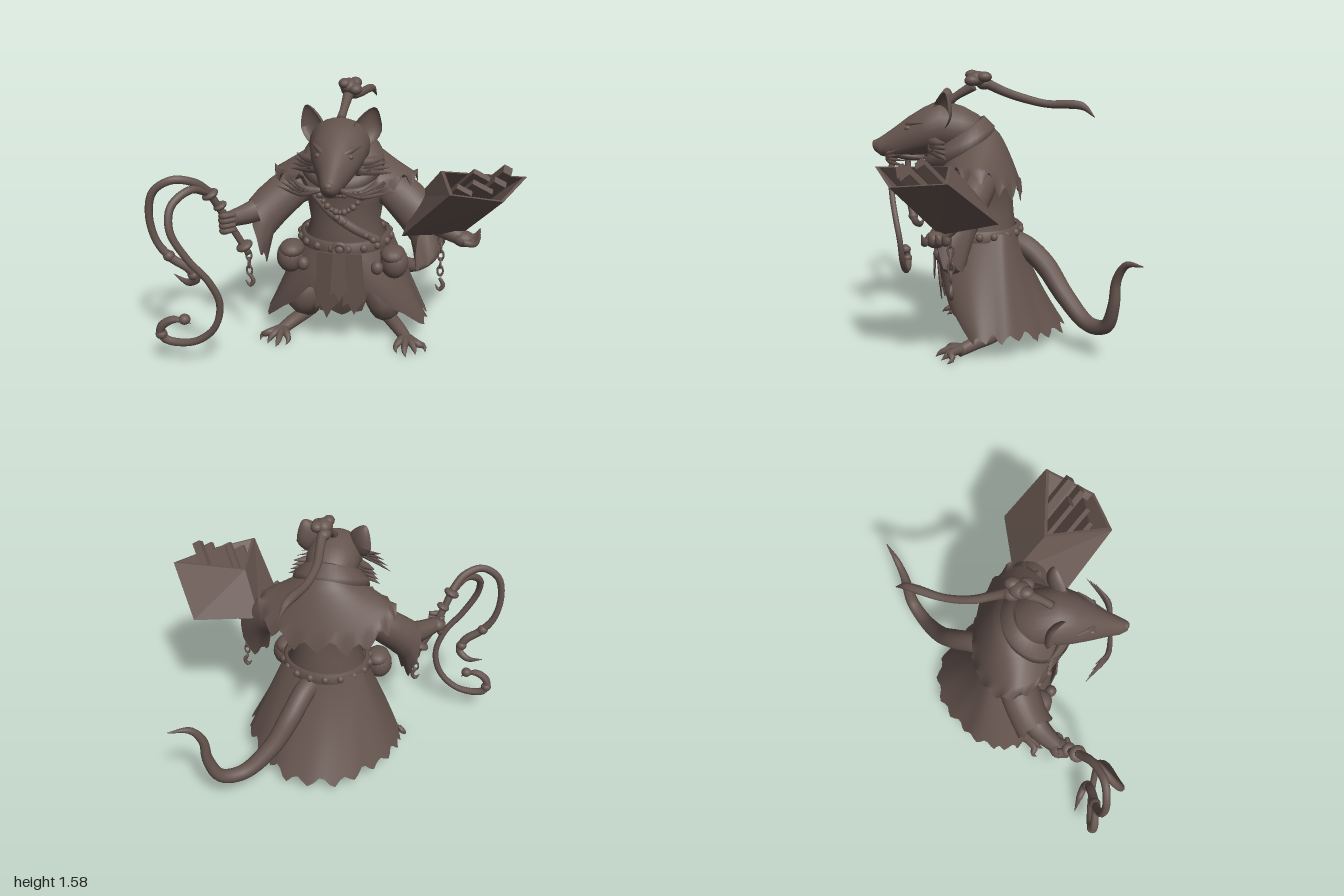
import * as THREE from 'three';

const V = (x, y, z) => new THREE.Vector3(x, y, z);
const TAU = Math.PI * 2;
const lerp = THREE.MathUtils.lerp;
const smooth = THREE.MathUtils.smoothstep;

export function createModel() {
  const model = new THREE.Group();
  const clay = new THREE.MeshStandardMaterial({ color: 0x65544e, side: THREE.DoubleSide });
  clay.name = 'umber clay';

  const add = (name, geo, p = [0, 0, 0], s = [1, 1, 1], r = [0, 0, 0]) => {
    const m = new THREE.Mesh(geo, clay);
    m.name = name;
    m.position.set(...p); m.scale.set(...s); m.rotation.set(...r);
    model.add(m);
    return m;
  };

  // Smooth skin through closed rings of equal point count
  const loft = (rings) => {
    const n = rings[0].length, pos = [], idx = [];
    rings.forEach((r) => r.forEach((p) => pos.push(p.x, p.y, p.z)));
    for (let i = 0; i < rings.length - 1; i++) for (let j = 0; j < n; j++) {
      const a = i * n + j, b = i * n + (j + 1) % n;
      idx.push(a, b, b + n, a, b + n, a + n);
    }
    const g = new THREE.BufferGeometry();
    g.setAttribute('position', new THREE.Float32BufferAttribute(pos, 3));
    g.setIndex(idx);
    g.computeVertexNormals();
    return g;
  };
  const ring = (n, f) => Array.from({ length: n }, (_, j) => f(j / n * TAU, j));

  // Tube along points with its own radius at each of them
  const tube = (pts, radii, seg = 24, sides = 8) => {
    const c = new THREE.CatmullRomCurve3(pts.map((p) => V(...p)));
    const f = c.computeFrenetFrames(seg), rings = [];
    for (let i = 0; i <= seg; i++) {
      const k = c.getUtoTmapping(i / seg) * (radii.length - 1), q = Math.min(Math.floor(k), radii.length - 2);
      const r = lerp(radii[q], radii[q + 1], k - q), o = c.getPointAt(i / seg);
      rings.push(ring(sides, (t) => o.clone()
        .addScaledVector(f.normals[i], r * Math.cos(t)).addScaledVector(f.binormals[i], r * Math.sin(t))));
    }
    const end = (k) => ring(sides, () => c.getPoint(k));
    return loft([end(0), ...rings, end(1)]);
  };
  const ball = new THREE.SphereGeometry(1, 16, 12);
  const blob = (name, p, s, r) => add(name, ball, p, s, r);
  const jag = (j) => [0, 0.025, 0.06, 0.05, 0.01, -0.01, 0.03, 0.045, 0.02][j % 9];

  // Torso: y, half width, back z, front z
  const torso = [[0.3, 0.12, 0, 0.2], [0.4, 0.26, -0.1, 0.29], [0.62, 0.245, -0.11, 0.33], [0.76, 0.2, -0.09, 0.31],
    [0.9, 0.22, -0.08, 0.31], [1.03, 0.27, -0.08, 0.32], [1.14, 0.22, -0.04, 0.35], [1.24, 0.12, 0.06, 0.32]];
  add('torso', loft(torso.map(([y, w, b, f]) => ring(32, (t) =>
    V(w * Math.sin(t), y, (b + f) / 2 + (f - b) / 2 * Math.cos(t))))));

  // Flared robe skirt, parted over the shins and ragged at the hem
  add('robeSkirt', loft(Array.from({ length: 12 }, (_, i) => {
    const s = 1 - i / 11;
    return ring(90, (t, j) => {
      const d = Math.min(t, TAU - t) * 180 / Math.PI;
      let hem = lerp(0.22, 0.38, smooth(d, 12, 24));
      hem = lerp(hem, 0.13, smooth(d, 27, 52));
      hem = lerp(hem, 0.07, smooth(d, 100, 160));
      const y = lerp(0.68, hem, s) + (i ? 0 : jag(j) * 0.8 - 0.01), q = (0.68 - y) / 0.6, c = Math.cos(t), k = Math.sin(2 * t) ** 2;
      const front = 0.32 + 0.2 * q * (1 - q) - 0.13 * q * q, back = 0.11 + 0.17 * q + 0.11 * q * q;
      const fold = 1 + 0.01 * q * Math.sin(t * 12) + (c > 0 ? 0.25 : -0.1) * q * k;
      return V((0.245 + 0.25 * q) * Math.sin(t) * fold, y, (c > 0 ? front : back) * c * fold);
    });
  })));

  // Ragged shoulder mantle
  add('mantle', loft(Array.from({ length: 9 }, (_, i) => {
    const s = 1 - i / 8;
    return ring(72, (t, j) => {
      const b = (1 - Math.cos(t)) / 2, e = Math.pow(s, 0.85);
      const low = lerp(1.05, 0.91, smooth(b, 0.45, 1));
      return V(lerp(0.17, 0.41, e) * Math.sin(t),
        lerp(lerp(1.12, 1.25, b), low, Math.pow(s, lerp(0.9, 1.2, b))) + (i ? 0 : jag(j) * 1.4 - 0.05),
        lerp(0.17, 0.1, e) + lerp(0.15, 0.24, e) * Math.cos(t));
    });
  })));
  // Thick hood collar, high at the nape and sloping to the chest
  const collar = [[0.19, -0.1], [0.25, -0.06], [0.24, -0.01], [0.17, 0.045], [0.145, 0.04], [0.16, -0.05]];
  add('hoodCollar', loft(collar.map(([r, h]) => ring(36, (t) => {
    const c = Math.cos(t);
    return V(r * 0.92 * Math.sin(t), 1.19 - 0.09 * c + h, 0.22 + r * 0.82 * c);
  }))));

  // Head: z, centre y, half width, half height
  const head = [[0.06, 1.22, 0.02, 0.02], [0.11, 1.23, 0.115, 0.1], [0.2, 1.25, 0.15, 0.13], [0.33, 1.27, 0.165, 0.15],
    [0.43, 1.24, 0.14, 0.135], [0.52, 1.205, 0.105, 0.115], [0.6, 1.17, 0.07, 0.09], [0.68, 1.15, 0.047, 0.055],
    [0.72, 1.155, 0.027, 0.028], [0.73, 1.155, 0.001, 0.001]];
  add('head', loft(head.map(([z, y, w, h]) => ring(28, (t) => V(w * Math.sin(t), y + h * Math.cos(t), z)))));
  blob('nose', [0, 1.168, 0.708], [0.026, 0.022, 0.022]);
  blob('lowerJaw', [0, 1.1, 0.53], [0.06, 0.03, 0.11], [-0.15, 0, 0]);

  // Cupped ear narrowing to a rounded point
  const ear = new THREE.SphereGeometry(1, 18, 8, 0, TAU, 0, Math.PI / 2).rotateX(-Math.PI / 2);
  const ep = ear.attributes.position;
  for (let i = 0; i < ep.count; i++) ep.setX(i, ep.getX(i) * (1 - 0.45 * Math.max(0, ep.getY(i))));
  ear.computeVertexNormals();

  // Parts mirrored left and right
  for (const s of [1, -1]) {
    const side = s > 0 ? 'left' : 'right';
    add(side + 'Ear', ear, [0.155 * s, 1.37, 0.32], [0.085, 0.11, 0.05], [0, 0.6 * s, -0.35 * s]);
    blob(side + 'Eye', [0.085 * s, 1.265, 0.515], [0.016, 0.014, 0.02]);
    add(side + 'Brow', tube([[0.03 * s, 1.27, 0.55], [0.08 * s, 1.29, 0.5], [0.125 * s, 1.3, 0.43]], [0.008, 0.016, 0.006], 10));
    // Drooping whiskers and cheek fur
    for (let i = 0; i < 4; i++) {
      add(side + 'Whisker', tube([[0.05 * s, 1.12, 0.63], [0.15 * s, 1.09 + i * 0.012, 0.62],
        [(0.31 - i * 0.025) * s, 1.08 + i * 0.03, 0.5 + i * 0.015]], [0.012, 0.016, 0.001], 10, 6));
      add(side + 'CheekFur', tube([[0.1 * s, 1.15 + i * 0.015, 0.38], [0.18 * s, 1.13 + i * 0.02, 0.34],
        [(0.28 - i * 0.012) * s, 1.11 + i * 0.03, 0.29]], [0.035, 0.025, 0.001], 10, 6));
    }
    // Wide ragged sleeve: x, y, z, half width, half height
    const sleeve = [[0.16, 1.0, 0.09, 0.11, 0.1], [0.28, 0.96, 0.12, 0.12, 0.11], [0.38, 0.88, 0.17, 0.12, 0.125],
      [0.45, 0.81, 0.21, 0.115, 0.135], [0.49, 0.74, 0.25, 0.12, 0.155]];
    add(side + 'Sleeve', loft(sleeve.map(([x, y, z, w, h], i) => ring(27, (t, j) => {
      const u = Math.sin(t), drop = i === 4 && u < 0 ? Math.sqrt(-u) * (0.08 - jag(j)) : 0;
      return V(s * (x - 0.5 * w * Math.cos(t) + 0.2 * h * u), y + h * u - drop, z + 0.8 * w * Math.cos(t));
    }))));
    const hand = s > 0 ? [0.68, 0.765, 0.33] : [-0.62, 0.82, 0.38];
    add(side + 'Forearm', tube([[0.36 * s, 0.9, 0.17], [0.5 * s, 0.83, 0.25], hand], [0.08, 0.07, 0.045]));
    blob(side + 'Hand', hand, [0.06, 0.045, 0.055]);
    for (let i = 0; i < 4; i++) {
      add(side + 'Finger', s > 0
        ? tube([[0.68, 0.76, 0.27 + i * 0.035], [0.74, 0.76, 0.28 + i * 0.035], [0.77, 0.81, 0.29 + i * 0.035]], [0.02, 0.018, 0.004], 10)
        : tube([[-0.65, 0.77 + i * 0.03, 0.37], [-0.64, 0.77 + i * 0.03, 0.435], [-0.57, 0.78 + i * 0.03, 0.42]], [0.018, 0.02, 0.012], 10));
    }
    // Bent leg, long foot and clawed toes
    add(side + 'Leg', tube([[0.15 * s, 0.42, 0.1], [0.24 * s, 0.28, 0.18], [0.23 * s, 0.2, 0.12], [0.24 * s, 0.1, 0.02],
      [0.33 * s, 0.065, 0.14], [0.39 * s, 0.04, 0.23]], [0.11, 0.11, 0.085, 0.045, 0.04, 0.033], 30, 12));
    for (let i = 0; i < 4; i++) {
      const x = 0.32 + i * 0.055, z = 0.34 - Math.abs(i - 1) * 0.035;
      add(side + 'Toe', tube([[0.37 * s, 0.05, 0.2], [lerp(0.37, x, 0.7) * s, 0.05, 0.27], [x * s, 0.03, z - 0.01], [(x + 0.01) * s, 0.008, z + 0.02]],
        [0.03, 0.022, 0.016, 0.001], 12));
    }
    // Hip pouches with flaps
    blob(side + 'Pouch', [0.3 * s, 0.565, 0.26], [0.08, 0.095, 0.085]);
    blob(side + 'PouchFlap', [0.29 * s, 0.615, 0.26], [0.072, 0.05, 0.088]);
    blob(side + 'Vial', [0.21 * s, 0.56, 0.34], [0.035, 0.04, 0.035]);
    // Hanging chain of links ending in a hook
    const cx = s > 0 ? 0.56 : -0.52, cz = s > 0 ? 0.26 : 0.36, top = s > 0 ? 0.72 : 0.6;
    const links = s > 0 ? 5 : 3;
    for (let i = 0; i < links; i++) add(side + 'ChainLink', new THREE.TorusGeometry(0.02, 0.007, 6, 12),
      [cx, top - i * 0.048, cz], [0.8, 1.4, 1], [0, i * Math.PI / 2, 0]);
    add(side + 'Hook', tube([[cx, 0.48, cz], [cx + 0.02, 0.44, cz], [cx, 0.41, cz], [cx - 0.025, 0.44, cz]], [0.01, 0.013, 0.012, 0.003], 12));
  }

  // Belt with studs and buckle
  add('belt', loft([[0.635, 0.25], [0.635, 0.268], [0.695, 0.262], [0.695, 0.24]].map(([y, r]) =>
    ring(36, (t) => V(r * Math.sin(t), y, 0.11 + (r - 0.022) * Math.cos(t))))));
  for (let i = 0; i < 18; i++) {
    const t = (i + 0.5) / 18 * TAU;
    blob('beltStud', [0.262 * Math.sin(t), 0.665, 0.11 + 0.24 * Math.cos(t)], [0.022, 0.024, 0.022]);
  }
  add('buckle', new THREE.TorusGeometry(0.036, 0.014, 8, 20), [0, 0.665, 0.36]);
  blob('buckleBoss', [0, 0.665, 0.36], [0.025, 0.025, 0.018]);

  // Bead necklaces and the strap across the belly
  for (const [w, low, n] of [[0.19, 0.88, 17], [0.15, 0.98, 13]]) for (let i = 0; i < n; i++) {
    const u = i / (n - 1) * 2 - 1, r = i % 2 ? 0.02 : 0.015;
    blob('necklaceBead', [w * u, lerp(low, 1.1, u * u), 0.335 - 0.08 * u * u], [r, r, r]);
  }
  add('bandolier', tube([[-0.19, 0.98, 0.23], [-0.05, 0.86, 0.3], [0.08, 0.77, 0.3], [0.21, 0.69, 0.25]], [0.025, 0.028, 0.028, 0.025]));
  for (let i = 0; i < 6; i++) blob('bandolierBead', [-0.02 + i * 0.04, 0.845 - i * 0.028, 0.325 - i * 0.008], [0.02, 0.02, 0.02]);

  // Pointed cloth strips under the belt
  for (const [x, w, len, z, tilt] of [[0, 0.1, 0.3, 0.37, -0.03], [-0.08, 0.13, 0.44, 0.365, 0.1], [0.08, 0.13, 0.4, 0.365, 0.08]]) {
    const sh = new THREE.Shape([[-w * 0.35, 0], [w * 0.35, 0], [w / 2, -len * 0.75], [w * 0.25, -len * 0.84],
      [0, -len], [-w * 0.25, -len * 0.8], [-w / 2, -len * 0.86]].map((p) => new THREE.Vector2(...p)));
    add('tabardStrip', new THREE.ExtrudeGeometry(sh, { depth: 0.008, bevelEnabled: false }), [x, 0.65, z], [1, 1, 1], [tilt, x * 1.5, 0]);
  }

  // Curling tail
  add('tail', tube([[0.03, 0.62, -0.04], [0.08, 0.57, -0.16], [0.13, 0.47, -0.27], [0.22, 0.31, -0.38], [0.36, 0.19, -0.5],
    [0.47, 0.215, -0.585], [0.53, 0.35, -0.615], [0.545, 0.5, -0.625], [0.6, 0.6, -0.665], [0.7, 0.62, -0.735]],
  [0.06, 0.064, 0.063, 0.055, 0.046, 0.04, 0.033, 0.026, 0.02, 0.003], 60, 12));

  // Bound topknot with a long trailing lock
  add('topknotStem', tube([[0, 1.4, 0.29], [0.01, 1.44, 0.24], [0.02, 1.5, 0.14]], [0.025, 0.022, 0.03], 12));
  [[0.02, 1.54, 0.12, 0.05], [0.05, 1.55, 0.08, 0.036], [0, 1.56, 0.15, 0.033], [0.06, 1.53, 0.15, 0.036], [0.01, 1.51, 0.08, 0.04]]
    .forEach(([x, y, z, r]) => blob('topknot', [x, y, z], [r, r * 0.85, r * 1.2]));
  add('trailingLock', tube([[0.02, 1.53, 0.1], [0.01, 1.47, -0.02], [0, 1.43, -0.13], [0.02, 1.395, -0.28], [0.06, 1.395, -0.42],
    [0.08, 1.385, -0.48], [0.1, 1.325, -0.545]], [0.03, 0.026, 0.025, 0.022, 0.026, 0.022, 0.002], 36));

  // Whip: handle, collars and two lashes with hooked tips
  add('whipHandle', tube([[-0.52, 0.61, 0.36], [-0.62, 0.82, 0.4], [-0.7, 1.03, 0.48]], [0.02, 0.022, 0.022]));
  for (const [x, y, z, r] of [[-0.54, 0.66, 0.37, 0.05], [-0.65, 0.92, 0.43, 0.04], [-0.69, 1.0, 0.47, 0.048]])
    blob('whipCollar', [x, y, z], [r, r * 0.5, r], [0.2, 0, 0.4]);
  add('outerLash', tube([[-0.69, 1.01, 0.47], [-0.75, 1.09, 0.54], [-0.85, 1.12, 0.6], [-0.95, 1.06, 0.62], [-0.985, 0.93, 0.62], [-0.96, 0.77, 0.61],
    [-0.89, 0.67, 0.6], [-0.8, 0.6, 0.58], [-0.77, 0.53, 0.56], [-0.83, 0.49, 0.53], [-0.92, 0.52, 0.5]],
  [0.024, 0.024, 0.023, 0.022, 0.021, 0.021, 0.025, 0.026, 0.025, 0.02, 0.002], 60));
  add('innerLash', tube([[-0.69, 1.01, 0.47], [-0.76, 1.06, 0.57], [-0.84, 1.0, 0.67], [-0.84, 0.88, 0.72], [-0.76, 0.72, 0.71], [-0.66, 0.58, 0.68],
    [-0.615, 0.43, 0.65], [-0.66, 0.27, 0.64], [-0.79, 0.17, 0.63], [-0.95, 0.175, 0.63], [-0.97, 0.25, 0.64], [-0.89, 0.31, 0.64], [-0.8, 0.28, 0.62]],
  [0.024, 0.023, 0.022, 0.021, 0.02, 0.02, 0.02, 0.02, 0.021, 0.025, 0.026, 0.022, 0.002], 72));
  for (const p of [[-0.9, 0.68, 0.6], [-0.78, 0.56, 0.57], [-0.97, 0.21, 0.635], [-0.83, 0.31, 0.63]]) blob('lashKnot', p, [0.033, 0.03, 0.033]);

  // Open slanted crate: base and rim corners
  const base = [V(0.35, 0.79, 0.4), V(0.67, 0.785, 0.31), V(0.8, 0.87, 0.01), V(0.41, 0.9, 0.08)];
  const rim = [V(0.6, 1.13, 0.64), V(0.87, 1.07, 0.54), V(1.0, 1.11, 0.25), V(0.54, 1.12, 0.25)];
  const mid = (q) => q.reduce((a, p) => a.add(p), V(0, 0, 0)).multiplyScalar(0.25);
  const inset = (q, k) => q.map((p) => p.clone().lerp(mid(q), k));
  const floor = inset(base, 0.1).map((p, i) => p.lerp(rim[i], 0.12));
  const faceted = (rings) => { const g = loft(rings).toNonIndexed(); g.computeVertexNormals(); return g; };
  add('crate', faceted([base.map(() => mid(base)), base, rim, inset(rim, 0.1), floor, floor.map(() => mid(floor))]));

  // Scrolls and slabs leaning in the crate
  const axis = mid(rim).sub(mid(base)).normalize();
  for (const [i, j, l, w, d] of [[0.25, 0.3, 0.38, 0.09, 0.03], [0.5, 0.35, 0.4, 0.12, 0.03], [0.72, 0.45, 0.42, 0.07, 0.035],
    [0.4, 0.7, 0.4, 0.1, 0.03], [0.7, 0.75, 0.45, 0.05, 0.05]]) {
    const at = floor[0].clone().lerp(floor[1], i).lerp(floor[3].clone().lerp(floor[2], i), j).addScaledVector(axis, l / 2);
    const slab = add('slab', new THREE.BoxGeometry(w, l, d), at.toArray());
    slab.quaternion.setFromUnitVectors(V(0, 1, 0), axis);
  }
  return model;
}
